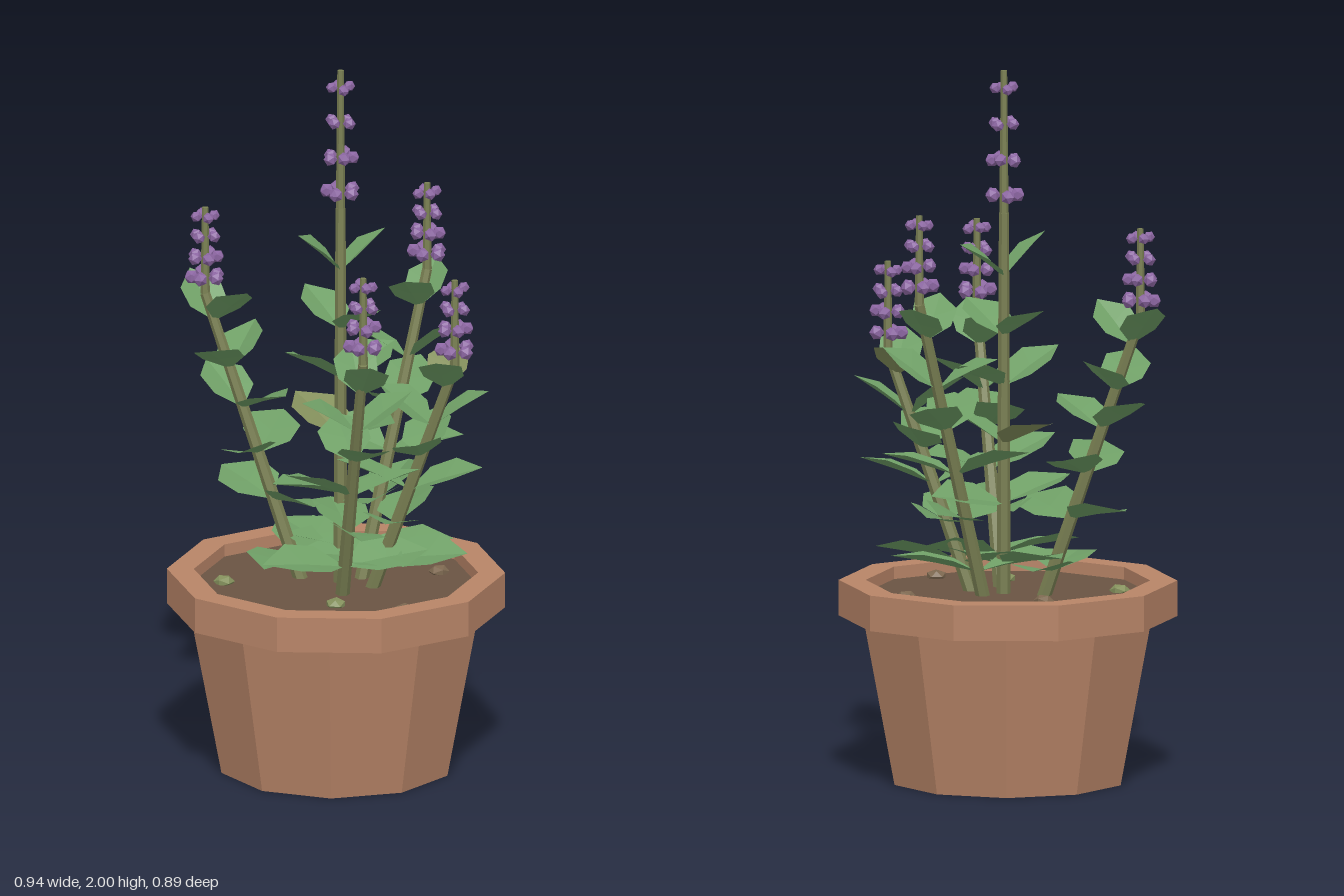
import * as THREE from 'three';

const mat = (name, color, side = THREE.FrontSide) => {
  const m = new THREE.MeshStandardMaterial({ color, flatShading: true, side });
  m.name = name;
  return m;
};
const terracotta = mat('terracotta', 0xb78467);
const earth = mat('earth', 0x6a5443);
const stalkGreen = mat('stalkOlive', 0x7a8053);
const leafGreen = mat('leafGreen', 0x6f9f66, THREE.DoubleSide);
const leafOlive = mat('leafOlive', 0x84905c, THREE.DoubleSide);
const purple = mat('blossomPurple', 0x8c66a2);
const pebbleBrown = mat('pebbleBrown', 0x7d6850);

// Seeded jitter in -1..1
function makeJitter(seed) {
  let s = seed;
  return () => {
    s = (s * 16807) % 2147483647;
    return (s / 2147483647) * 2 - 1;
  };
}

function add(parent, name, geometry, material, x = 0, y = 0, z = 0) {
  const m = new THREE.Mesh(geometry, material);
  m.name = name;
  m.position.set(x, y, z);
  parent.add(m);
  return m;
}

// Pointed leaf of unit length along +z, folded along the midrib
function leafGeometry() {
  const pts = [
    0, 0, 0,
    0.3, 0.08, 0.3, 0, 0, 0.5, -0.3, 0.08, 0.3,
    0.32, 0.08, 0.66, -0.32, 0.08, 0.66,
    0, -0.03, 1.02,
  ];
  const g = new THREE.BufferGeometry();
  g.setAttribute('position', new THREE.Float32BufferAttribute(pts, 3));
  g.setIndex([0, 2, 1, 0, 3, 2, 1, 2, 4, 3, 5, 2, 2, 6, 4, 2, 5, 6]);
  const flat = g.toNonIndexed();
  flat.computeVertexNormals();
  return flat;
}

// Tapered round rod between two points
function rod(parent, name, a, b, ra, rb) {
  const dir = b.clone().sub(a);
  const m = add(parent, name, new THREE.CylinderGeometry(rb, ra, dir.length(), 6), stalkGreen);
  m.position.copy(a).add(b).multiplyScalar(0.5);
  m.quaternion.setFromUnitVectors(new THREE.Vector3(0, 1, 0), dir.normalize());
}

// turn: azimuth of the top leaf pair; skew: extra turn of every second pair; olive: indices of olive leaves
const stems = [
  { base: [0.015, 0], tip: [0.035, 2.0, -0.03], bend: 1.6, ring: 1.65, step: 0.1, turn: 1.57, skew: 0.15, topLeaf: 1.43, olive: [5] },
  { base: [-0.05, -0.09], tip: [-0.22, 1.57, -0.325], bend: 1.32, ring: 1.37, step: 0.058, turn: 0.05, skew: 0.6, topLeaf: 1.25, olive: [] },
  { base: [-0.04, 0.09], tip: [-0.135, 1.52, 0.34], bend: 1.27, ring: 1.32, step: 0.058, turn: -0.3, skew: 0.1, topLeaf: 1.17, olive: [] },
  { base: [0.06, 0.08], tip: [0.21, 1.44, 0.28], bend: 1.19, ring: 1.24, step: 0.058, turn: 2.4, skew: 0, topLeaf: 1.12, olive: [10] },
  { base: [0.08, 0], tip: [0.33, 1.62, -0.04], bend: 1.37, ring: 1.42, step: 0.058, turn: 2.3, skew: 0.1, topLeaf: 1.26, olive: [] },
];

function buildStem(s, seed, leafGeo, budGeo) {
  const jitter = makeJitter(seed);
  const g = new THREE.Group();
  g.name = 'floweringStem';
  const base = new THREE.Vector3(s.base[0], 0.5, s.base[1]);
  const tip = new THREE.Vector3(...s.tip);
  const bend = new THREE.Vector3(tip.x, s.bend, tip.z);
  rod(g, 'stalk', base, bend, 0.02, 0.014);
  rod(g, 'spikeStalk', bend, tip, 0.013, 0.009);

  // Opposite leaf pairs, each level turned about a quarter
  const levels = 6;
  for (let i = 0; i < levels; i++) {
    const t = i / (levels - 1);
    const down = levels - 1 - i;
    const y = THREE.MathUtils.lerp(0.6, s.topLeaf, t) + jitter() * 0.015;
    const p = base.clone().lerp(bend, (y - base.y) / (bend.y - base.y));
    for (let k = 0; k < 2; k++) {
      const olive = s.olive.includes(i * 2 + k);
      const leaf = add(g, 'leaf', leafGeo, olive ? leafOlive : leafGreen, p.x, p.y, p.z);
      const len = THREE.MathUtils.lerp(0.24, 0.175, t);
      leaf.scale.set(len * 1.08, len, len);
      leaf.rotation.set(
        -(0.16 + 0.52 * t) + jitter() * 0.1,
        s.turn + down * (Math.PI / 2) + (down % 2) * s.skew + k * Math.PI + jitter() * 0.12,
        jitter() * 0.32, 'YXZ');
    }
  }

  // Rings of round blossoms, fewer and smaller toward the tip
  [5, 5, 4, 4].forEach((count, r) => {
    const radius = 0.038 - r * 0.004;
    for (let k = 0; k < count; k++) {
      const a = (k / count) * Math.PI * 2 + r * 0.6;
      const bud = add(g, 'blossom', budGeo, purple,
        tip.x + Math.cos(a) * radius, s.ring + r * s.step + jitter() * 0.004, tip.z + Math.sin(a) * radius);
      bud.scale.setScalar(1 - r * 0.07);
      bud.rotation.y = -a;
    }
  });
  return g;
}

export function createModel() {
  const model = new THREE.Group();
  model.name = 'pottedFloweringPlant';

  // Ten-sided pot
  add(model, 'potBody', new THREE.CylinderGeometry(0.42, 0.33, 0.47, 10), terracotta, 0, 0.235, 0);
  const profile = [[0.395, 0.46], [0.47, 0.46], [0.47, 0.56], [0.395, 0.56], [0.395, 0.46]]
    .map(([x, y]) => new THREE.Vector2(x, y));
  const rim = add(model, 'potRim', new THREE.LatheGeometry(profile, 10), terracotta);
  rim.rotation.y = Math.PI / 10;
  const soil = add(model, 'soil', new THREE.CylinderGeometry(0.396, 0.396, 0.05, 10), earth, 0, 0.5, 0);
  soil.rotation.y = Math.PI / 10;

  // Pebbles on the soil
  const pebbleGeo = new THREE.IcosahedronGeometry(0.03);
  [[0.165, -0.25], [0.01, 0.33], [-0.26, -0.17], [0.29, 0.08], [-0.12, 0.18], [0.02, -0.2]].forEach(([x, z], i) => {
    const p = add(model, 'pebble', pebbleGeo, i % 2 ? pebbleBrown : leafOlive, x, 0.53, z);
    p.scale.y = 0.6;
    p.rotation.y = i;
  });

  const leafGeo = leafGeometry();
  const budGeo = new THREE.IcosahedronGeometry(0.021);
  stems.forEach((s, i) => model.add(buildStem(s, 1234567 * (i + 1), leafGeo, budGeo)));
  return model;
}
